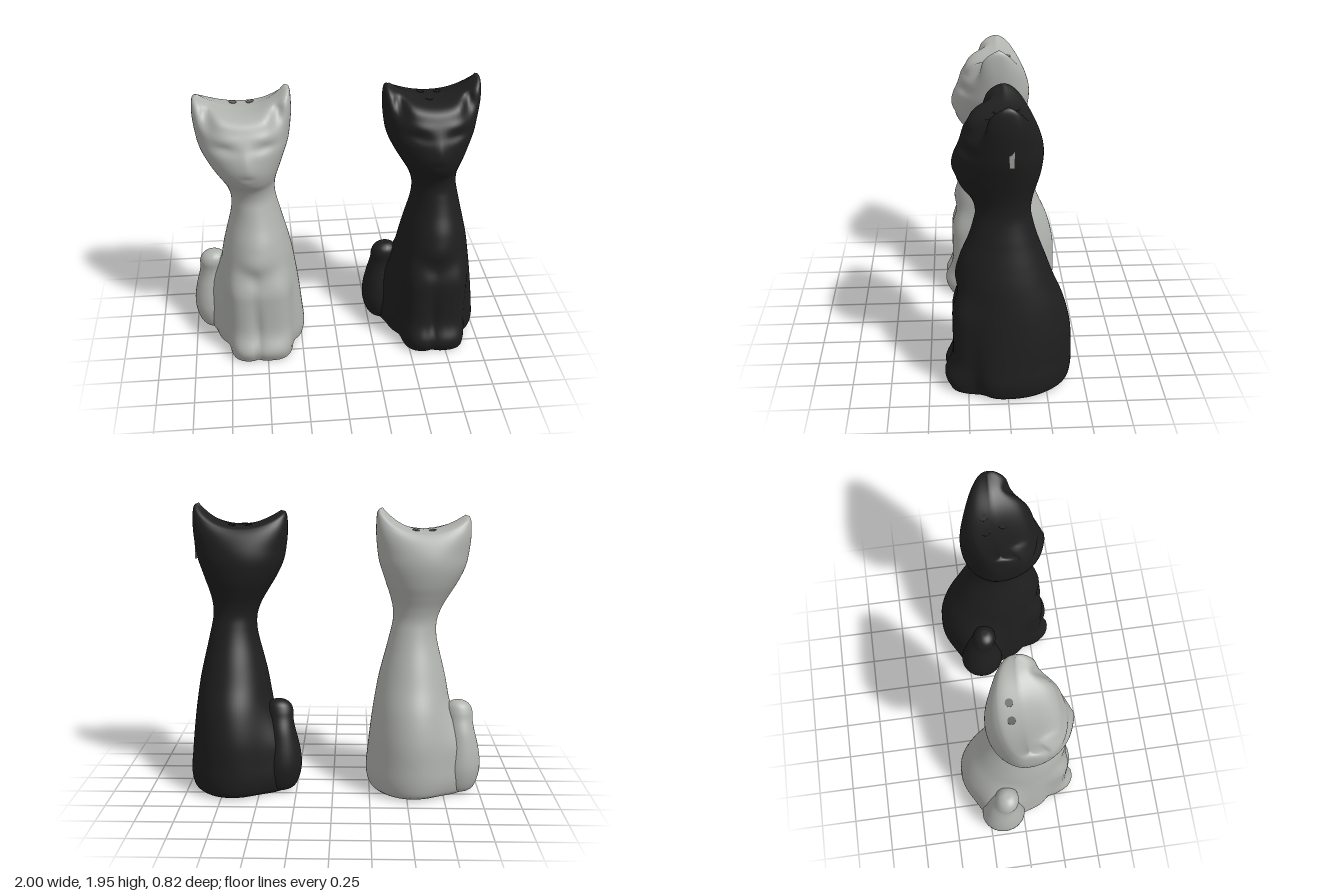
import * as THREE from 'three';
import { mergeVertices } from 'three/addons/utils/BufferGeometryUtils.js';

const SEG = 80, RINGS = 130;
const { lerp, smoothstep } = THREE.MathUtils;
const mat = (name, color) => {
  const m = new THREE.MeshStandardMaterial({ color, side: THREE.DoubleSide });
  m.name = name;
  return m;
};

// Body stations: height, half width, front depth, back depth
const STATIONS = [
  [0.01, 0.28, 0.18, 0.37],
  [0.04, 0.3, 0.21, 0.405],
  [0.12, 0.312, 0.225, 0.42],
  [0.23, 0.302, 0.23, 0.42],
  [0.4, 0.284, 0.245, 0.41],
  [0.58, 0.26, 0.28, 0.365],
  [0.74, 0.235, 0.315, 0.295],
  [0.87, 0.205, 0.295, 0.245],
  [1.0, 0.172, 0.24, 0.195],
  [1.1, 0.153, 0.207, 0.165],
  [1.18, 0.15, 0.192, 0.15],
  [1.26, 0.167, 0.215, 0.16],
  [1.34, 0.2, 0.278, 0.185],
  [1.42, 0.238, 0.31, 0.21],
  [1.52, 0.28, 0.312, 0.225],
  [1.6, 0.302, 0.29, 0.22],
  [1.68, 0.315, 0.25, 0.195],
  [1.74, 0.314, 0.21, 0.16],
  [1.77, 0.304, 0.135, 0.115],
  [1.78, 0.275, 0.00001, 0.00001],
];

// Front relief: x, y, depth, spread x, spread y
const CENTRE_RELIEF = [
  [0.033, 0.22, -0.03, 0.028, 0.28],    // groove between the legs
  [0.035, 0.76, 0.008, 0.08, 0.06],     // chest tuft
  [0.035, 0.63, -0.012, 0.045, 0.06],   // hollow under the tuft
  [0.02, 1.46, 0.012, 0.07, 0.06],      // muzzle
  [0.02, 1.52, 0.01, 0.03, 0.06],       // nose bridge
  [0.02, 1.41, -0.007, 0.035, 0.02],    // mouth
];
const SIDE_RELIEF = [-1, 1].flatMap((s) => [
  [0.015 + s * 0.125, 1.6, -0.017, 0.07, 0.03],    // eye socket
  [0.015 + s * 0.125, 1.665, 0.008, 0.08, 0.03],   // brow
  [s * 0.22, 1.79, -0.06, 0.045, 0.08],            // ear hollow
]);
const RELIEF = [...CENTRE_RELIEF, ...SIDE_RELIEF];

const spline = new THREE.CubicInterpolant(
  STATIONS.map((_, i) => i), STATIONS.flat(), 4, new Float32Array(4));

// Polar radius of a superellipse
const polar = (s, c, a, b, n) =>
  Math.pow(Math.pow(Math.abs(s) / a, n) + Math.pow(Math.abs(c) / b, n), -1 / n);

// Haunch oval merged with boxier front legs, raised into ears, with relief
function bodyPoint(t, angle, extraNeck) {
  const [y0, halfWidth, front, back] = spline.evaluate(t);
  const s = Math.sin(angle), c = Math.cos(angle);
  const depth = c > 0 ? front : back;
  const xc = 0.06 * (1 - smoothstep(y0, 1, 1.55));

  // haunches, swelling where the tail wraps round
  const square = c > 0 ? lerp(3, 2, smoothstep(y0, 0.2, 0.7)) : 2;
  const swell = 0.1 * Math.exp(-(((angle - 4.22) / 0.42) ** 2)) * (1 - smoothstep(y0, 0.3, 0.68));
  const oval = polar(s, c, halfWidth, depth, square) + swell;

  // front legs with paws, fading out at the chest
  const fade = smoothstep(y0, 0.5, 1.05);
  const paw = 0.055 * Math.exp(-(((y0 - 0.09) / 0.09) ** 2));
  const legDepth = lerp(0.345 + paw, 0.1, fade);
  const legs = polar(s, c, lerp(0.225, 0.09, fade), c > 0 ? legDepth : Math.min(legDepth, back * 0.5), 4);
  const r = Math.pow(Math.pow(oval, 14) + Math.pow(legs, 14), 1 / 14);

  // the head is a plain oval that thins to a ridge between blunt ears
  const head = smoothstep(y0, 1.42, 1.68);
  const blunt = Math.sign(c) * Math.pow(Math.abs(c), 1 - 0.3 * smoothstep(y0, 1.6, 1.75));
  const x = xc + lerp(r * s, halfWidth * s, head);
  let z = lerp(r * c, depth * blunt, head);
  const u = (x - xc) / halfWidth;
  const lift = 0.118 * Math.pow(Math.max(0, (y0 - 1.57) / 0.21), 1.3);
  const y = y0 + lift * Math.pow(Math.abs(u), 2.1) * (1 + 0.2 * u);
  if (z > 0) {
    let d = 0;
    for (const [bx, by, amp, sx, sy] of RELIEF)
      d += amp * Math.exp(-(((x - bx) / sx) ** 2) - ((y - by) / sy) ** 2);
    z += d * Math.min(1, z / 0.15);
  }
  return [x, y + extraNeck * smoothstep(y, 0.2, 1.2), z];
}

// Skin over a stack of rings, welded where rings close up
function loft(rings, pointAt) {
  const pos = [], idx = [];
  for (let j = 0; j < rings; j++)
    for (let i = 0; i < SEG; i++) pos.push(...pointAt(j, (i / SEG) * Math.PI * 2));
  for (let j = 0; j < rings - 1; j++)
    for (let i = 0; i < SEG; i++) {
      const a = j * SEG + i, b = j * SEG + ((i + 1) % SEG);
      idx.push(a, b, a + SEG, b, b + SEG, a + SEG);
    }
  const g = new THREE.BufferGeometry();
  g.setAttribute('position', new THREE.Float32BufferAttribute(pos, 3));
  g.setIndex(idx);
  const welded = mergeVertices(g, 0.0005);
  welded.computeVertexNormals();
  return welded;
}

// Underside rings: scale of the base outline and height, from inside to outside
const underside = (rings) => loft(rings.length, (j, a) => {
  const [x, , z] = bodyPoint(0, a, 0);
  const [f, y] = rings[j];
  return [0.06 + (x - 0.06) * f, y, z * f];
});

const lathe = (profile) => new THREE.LatheGeometry(profile.map(([r, y]) => new THREE.Vector2(r, y)), 36);

// Tail: a lathe that leans forward and curls with height
function tailGeometry() {
  const profile = [[0.001, 0.015], [0.09, 0.02], [0.125, 0.07], [0.14, 0.17], [0.13, 0.27], [0.105, 0.39],
    [0.08, 0.5], [0.075, 0.56], [0.06, 0.605], [0.03, 0.63], [0.001, 0.633]];
  const curve = new THREE.SplineCurve(profile.map(([r, y]) => new THREE.Vector2(r, y)));
  const g = new THREE.LatheGeometry(curve.getPoints(36), 32);
  const p = g.attributes.position;
  for (let i = 0; i < p.count; i++) {
    const y = p.getY(i);
    const curl = smoothstep(y, 0.42, 0.6);
    p.setX(i, p.getX(i) * (1 + curl * 0.25) - 0.25 - 0.02 * Math.sin(y * 5));
    p.setZ(i, p.getZ(i) * 1.1 - 0.15 + 0.03 * curl);
  }
  g.computeVertexNormals();
  return g;
}

function makeCat(name, glaze, holeColour, holes, extraNeck) {
  const cat = new THREE.Group();
  cat.name = name;
  const add = (part, geometry, material, x = 0, y = 0, z = 0) => {
    const m = new THREE.Mesh(geometry, material);
    m.name = part;
    m.position.set(x, y, z);
    cat.add(m);
    return m;
  };
  const body = add('body', loft(RINGS, (j, a) =>
    bodyPoint((j / (RINGS - 1)) * (STATIONS.length - 1), a, extraNeck)), glaze);
  add('tail', tailGeometry(), glaze);

  // Finds the skin along a ray
  const hit = (origin, dir) =>
    new THREE.Raycaster(new THREE.Vector3(...origin), new THREE.Vector3(...dir)).intersectObject(body)[0];

  // Pouring holes laid flush on the crown
  for (const [x, z] of holes) {
    const { point, face } = hit([x, 3, z], [0, -1, 0]);
    const disc = add('pouringHole', new THREE.CylinderGeometry(0.025, 0.025, 0.008, 20), holeColour, x, point.y, z);
    disc.quaternion.setFromUnitVectors(new THREE.Vector3(0, 1, 0), face.normal);
  }
  return { cat, add, hit };
}

export function createModel() {
  const model = new THREE.Group();
  model.name = 'catShakers';
  const white = mat('white glaze', 0xb0b2ae);
  const black = mat('black glaze', 0x1e1e1e);
  const pale = mat('bare clay', 0x9c9b96);
  const grey = mat('hole grey', 0x6a6b69);

  // White shaker with a shallow dished base and a recessed plug
  const w = makeCat('whiteCat', white, grey, [[-0.055, -0.07], [0.055, -0.07]], 0);
  w.add('base', underside([[0.001, 0.075], [0.4, 0.07], [0.65, 0.055], [0.8, 0.025], [0.92, 0.005], [1, 0.01]]), white);
  w.add('plugRim', new THREE.TorusGeometry(0.13, 0.022, 12, 40).rotateX(Math.PI / 2), white, 0.05, 0.065, 0);
  w.add('plug', lathe([[0.001, 0.062], [0.075, 0.062], [0.08, 0.052], [0.1, 0.052], [0.105, 0.07]]), white, 0.05, 0, 0);
  w.cat.position.x = -0.6;

  // Black shaker with a hollow base, bare rim and a deep plug
  const b = makeCat('blackCat', black, black, [[-0.06, -0.06], [0.05, -0.06], [-0.02, 0.05]], 0.03);
  b.add('cavity', underside([[0.001, 0.2], [0.6, 0.2], [0.74, 0.14], [0.8, 0.012]]), black);
  b.add('baseRim', underside([[0.8, 0.012], [0.9, 0.003], [1, 0.01]]), pale);
  b.add('plug', lathe([[0.001, 0.09], [0.1, 0.09], [0.105, 0.07], [0.13, 0.065], [0.15, 0.08], [0.15, 0.2]]), pale, 0.05, 0, 0);

  // Worn patch on the side of the head
  const side = b.hit([2, 1.635, -0.02], [-1, 0, 0]);
  b.add('wornPatch', new THREE.BoxGeometry(0.009, 0.105, 0.03), pale, side.point.x, 1.635, -0.02);
  b.cat.position.x = 0.62;

  model.add(w.cat, b.cat);
  return model;
}
